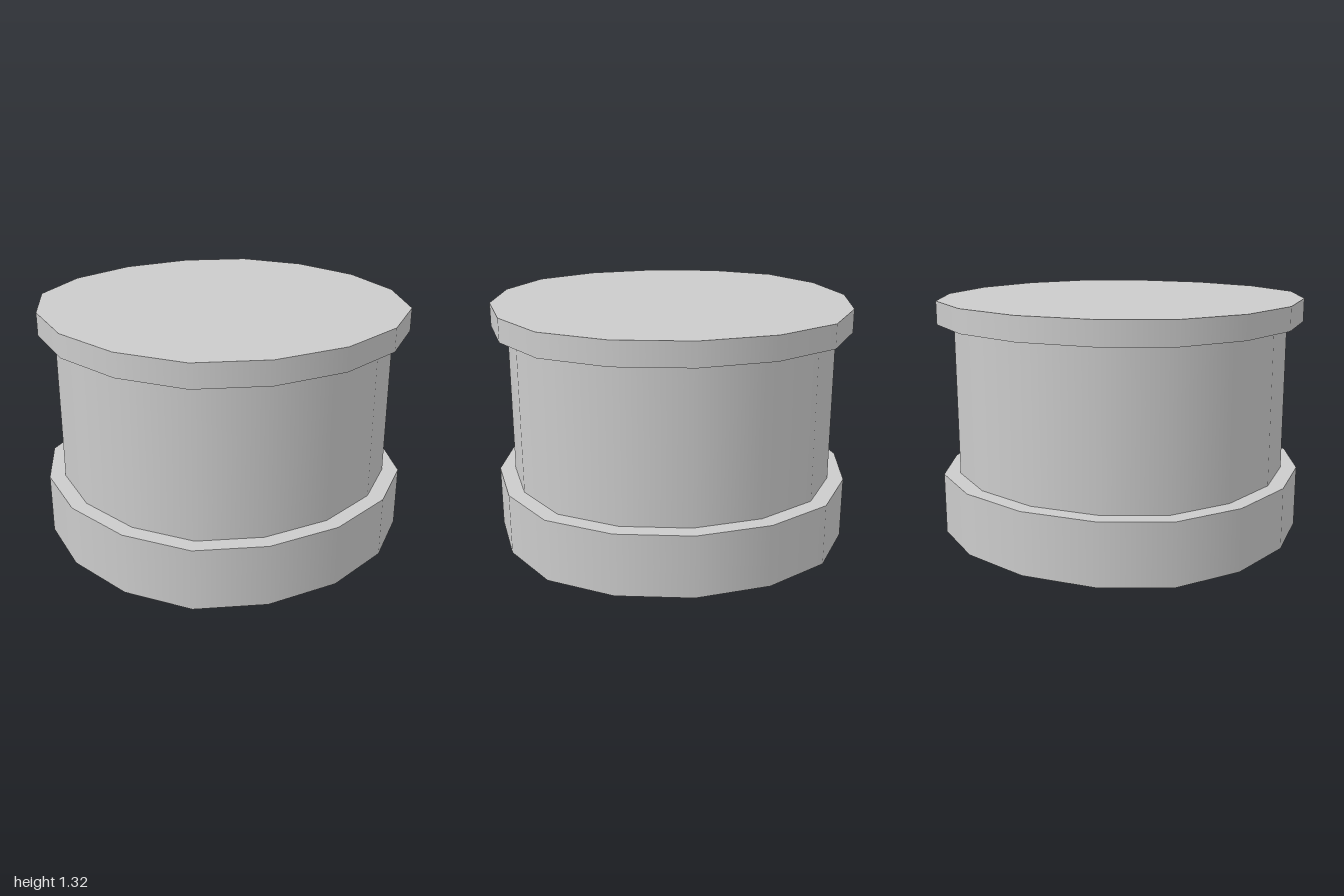
import * as THREE from 'three';

const SIDES = 16;

// One quarter of the slightly squared outline, as [x, z] at unit half-width
const QUARTER = [[0, 1], [0.4, 0.93], [0.733, 0.733], [0.93, 0.4]];

// Outline corner i of 16, turning each quarter by 90 degrees
function corner(i) {
  let [x, z] = QUARTER[i % 4];
  for (let q = 0; q < Math.floor(i / 4) % 4; q++) [x, z] = [z, -x];
  return [x, z];
}

// Smooth-sided drum from y0 to y1, moved onto the squared outline
function drum(name, halfWidth, y0, y1, open = false) {
  const geometry = new THREE.CylinderGeometry(1, 1, y1 - y0, SIDES, 1, open);
  geometry.translate(0, (y0 + y1) / 2, 0);
  const pos = geometry.attributes.position;
  for (let v = 0; v < pos.count; v++) {
    const x = pos.getX(v), z = pos.getZ(v);
    if (Math.hypot(x, z) < 0.5) continue; // cap centre
    const i = Math.round(Math.atan2(x, z) / (2 * Math.PI) * SIDES);
    const [cx, cz] = corner((i + SIDES) % SIDES);
    pos.setX(v, cx * halfWidth);
    pos.setZ(v, cz * halfWidth);
  }
  const mesh = new THREE.Mesh(geometry, new THREE.MeshStandardMaterial({ color: 0xcccccc }));
  mesh.name = name;
  return mesh;
}

export function createModel() {
  const model = new THREE.Group();
  model.name = 'drumPedestal';
  model.add(
    drum('base', 1, 0, 0.343),
    drum('body', 0.912, 0.343, 1.19, true),
    drum('lid', 1, 1.19, 1.318),
  );
  return model;
}
